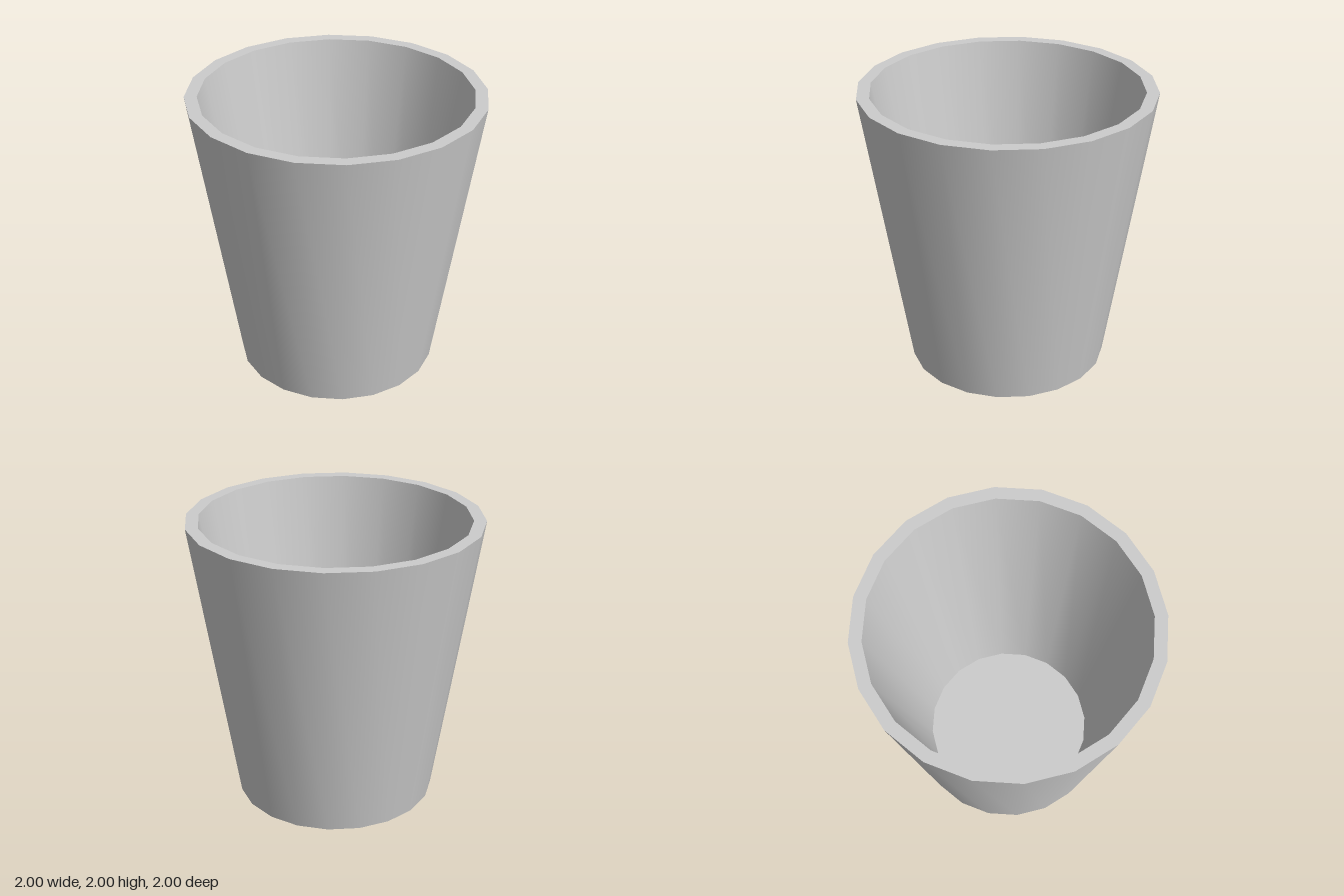
import * as THREE from 'three';

const SIDES = 20;

export function createModel() {
  const cup = new THREE.Group();
  cup.name = 'taperedCup';
  const material = new THREE.MeshStandardMaterial({ color: 0xcccccc });

  const add = (name, geometry) => {
    const mesh = new THREE.Mesh(geometry, material);
    mesh.name = name;
    cup.add(mesh);
    return mesh;
  };

  // Each band is its own lathe, so edges between bands stay sharp.
  const band = (name, r0, y0, r1, y1) =>
    add(name, new THREE.LatheGeometry(
      [new THREE.Vector2(r0, y0), new THREE.Vector2(r1, y1)], SIDES));

  // Flat disc facing up or down.
  const disc = (name, radius, y, facing) => {
    const mesh = add(name, new THREE.CircleGeometry(radius, SIDES));
    mesh.rotation.x = -facing * Math.PI / 2;
    mesh.position.y = y;
  };

  disc('base', 0.69, 0, -1);
  band('outerWall', 0.69, 0, 1, 2);
  band('rim', 1, 2, 0.915, 2);
  band('innerWall', 0.915, 2, 0.583, 0.1);
  disc('innerFloor', 0.583, 0.1, 1);

  return cup;
}
